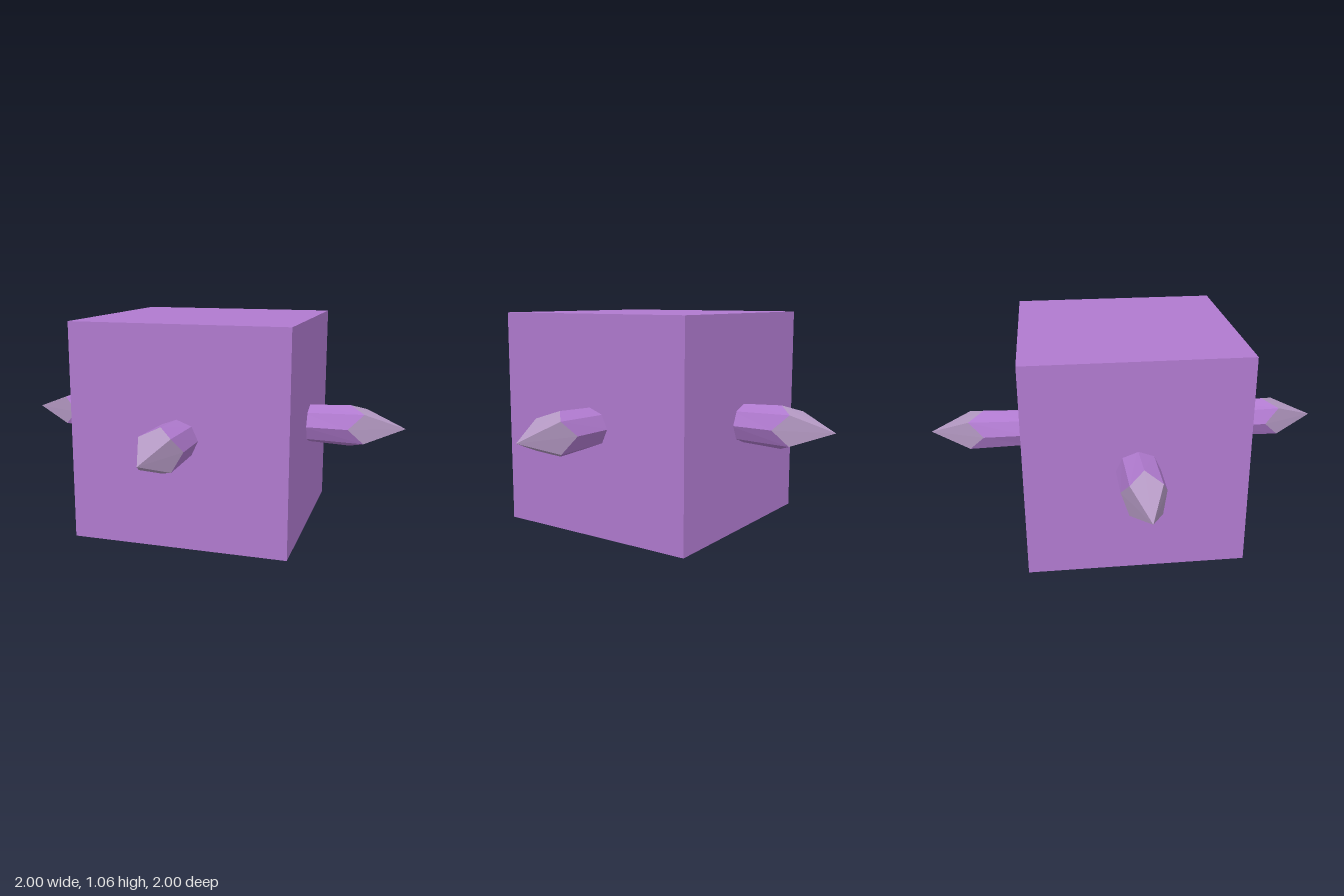
import * as THREE from 'three';

const SIDES = 8;
const bodyMaterial = new THREE.MeshStandardMaterial({ color: 0xb07acf, flatShading: true });
const tipMaterial = new THREE.MeshStandardMaterial({ color: 0xb398c2, flatShading: true });

// Octagonal ring around +z; z may differ between axis and diagonal corners
function ring(rx, ry, zAxis, zDiagonal) {
  return Array.from({ length: SIDES }, (_, i) => {
    const a = (i / SIDES) * Math.PI * 2;
    return new THREE.Vector3(rx * Math.cos(a), ry * Math.sin(a), i % 2 ? zDiagonal : zAxis);
  });
}

// Triangles joining two rings, from back to front
function band(back, front) {
  const points = [];
  for (let i = 0; i < SIDES; i++) {
    const j = (i + 1) % SIDES;
    points.push(back[i], back[j], front[j], back[i], front[j], front[i]);
  }
  return new THREE.BufferGeometry().setFromPoints(points);
}

// Triangles joining a ring to a single point
function point(base, apex) {
  const points = [];
  base.forEach((p, i) => points.push(p, base[(i + 1) % SIDES], apex));
  return new THREE.BufferGeometry().setFromPoints(points);
}

function addMesh(parent, name, geometry, material) {
  geometry.computeVertexNormals();
  const mesh = new THREE.Mesh(geometry, material);
  mesh.name = name;
  parent.add(mesh);
  return mesh;
}

// Eight-sided shaft sharpened to a four-cornered point
function makeSpike(name) {
  const spike = new THREE.Group();
  spike.name = name;
  const root = ring(0.104, 0.094, 0.51, 0.51);
  const shoulder = ring(0.104, 0.104, 0.73, 0.805);
  addMesh(spike, 'spikeShaft', band(root, shoulder), bodyMaterial);
  addMesh(spike, 'spikeTip', point(shoulder, new THREE.Vector3(0, 0, 1)), tipMaterial);
  return spike;
}

export function createModel() {
  const model = new THREE.Group();
  model.name = 'spikedCube';

  // Cube body
  const size = 1.06;
  const body = addMesh(model, 'cubeBody', new THREE.BoxGeometry(size, size, size), bodyMaterial);
  body.position.set(-0.003, size / 2, 0);

  // One spike on each upright face
  ['frontSpike', 'leftSpike', 'backSpike', 'rightSpike'].forEach((name, i) => {
    const spike = makeSpike(name);
    spike.position.y = size / 2;
    spike.rotation.y = (i * Math.PI) / 2;
    model.add(spike);
  });

  return model;
}
